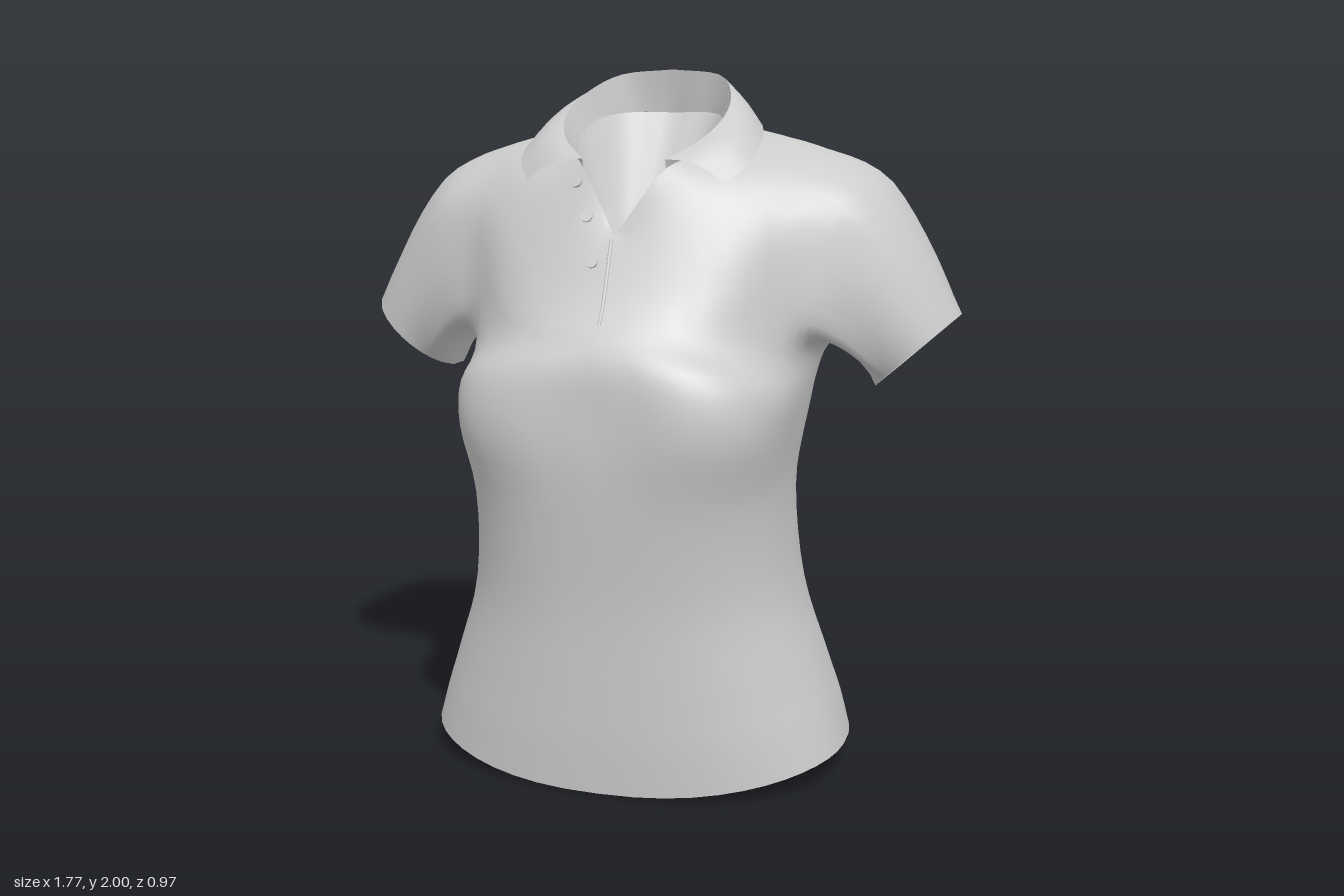
import * as THREE from 'three';

const COLS = 48, SUB = 4, HOLE = 4;          // columns round the body, rows per section, half armhole width
const V = (x, y, z) => new THREE.Vector3(x, y, z);
const curve = pts => new THREE.CatmullRomCurve3(pts.map(p => V(...p)));

// Body sections: y front, y side, y back, half width, z front, z side, z back, front and back squareness
const SECTIONS = [
  [0.005, 0.09, 0.12, 0.615, 0.41, 0.03, -0.485, 2.3, 2.3],
  [0.15, 0.20, 0.22, 0.585, 0.42, 0.02, -0.465, 2.3, 2.3],
  [0.30, 0.32, 0.33, 0.545, 0.425, 0.02, -0.43, 2.3, 2.3],
  [0.55, 0.55, 0.55, 0.475, 0.435, 0.02, -0.35, 2.4, 2.3],
  [0.82, 0.82, 0.82, 0.45, 0.465, 0.03, -0.32, 2.8, 2.3],
  [1.03, 1.01, 1.00, 0.47, 0.495, 0.0, -0.35, 3.6, 2.3],
  [1.19, 1.12, 1.12, 0.49, 0.485, -0.05, -0.375, 3.2, 2.4],
  [1.29, 1.21, 1.22, 0.505, 0.435, -0.11, -0.39, 2.2, 2.6],
  [1.36, 1.50, 1.50, 0.52, 0.375, -0.14, -0.42, 2.1, 2.8],
  [1.43, 1.785, 1.70, 0.53, 0.335, -0.17, -0.40, 2.0, 2.8],
];
const ARMPIT = 7 * SUB, SHOULDER = 9 * SUB, NECK = SHOULDER + 6;

// Left half of the neckline, from the front V to the back
const neckline = curve([[0, 1.55, 0.26], [0.12, 1.73, 0.175], [0.19, 1.77, 0.05],
  [0.195, 1.85, -0.12], [0.13, 1.875, -0.25], [0, 1.875, -0.295]]);

// Smooth values at a fractional section number
function sectionAt(f) {
  const i = Math.min(Math.floor(f), SECTIONS.length - 2), t = f - i;
  const at = k => SECTIONS[Math.max(0, Math.min(SECTIONS.length - 1, k))];
  return SECTIONS[0].map((_, c) => {
    const [a, b, d, e] = [at(i - 1)[c], at(i)[c], at(i + 1)[c], at(i + 2)[c]];
    return b + 0.5 * t * (d - a + t * (2 * a - 5 * b + 4 * d - e + t * (3 * (b - d) + e - a)));
  });
}

function bodyPoint(row, col) {
  const a = (col / COLS) * Math.PI * 2, c = Math.cos(a), s = Math.sin(a);
  if (row > SHOULDER) {                       // yoke: from the shoulder row in to the neckline
    const rim = neckline.getPoint(0.5 - Math.asin(s) / Math.PI);
    if (c < 0) rim.x *= -1;
    return bodyPoint(SHOULDER, col).lerp(rim, (row - SHOULDER) / (NECK - SHOULDER));
  }
  const [yF, yS, yB, w, zF, zS, zB, nF, nB] = sectionAt(row / SUB);
  const n = s > 0 ? nF : nB, yEnd = s > 0 ? yF : yB, zEnd = s > 0 ? zF : zB;
  const p = V(w * Math.sign(c) * Math.abs(c) ** (2 / n), yEnd + (yS - yEnd) * c * c,
    zS + (zEnd - zS) * Math.abs(s) ** (2 / n));
  // slight hollow between the two sides of the chest
  if (s > 0) p.z -= 0.03 * Math.exp(-((p.x / 0.12) ** 2) - ((p.y - 1.08) / 0.16) ** 2);
  return p;
}

// Torso and sleeves share vertices, so the shading flows through the armholes
function buildCloth(material) {
  const pts = [], links = [], torso = [], sleeves = { 1: [], [-1]: [] }, seams = [];
  const id = (r, c) => r * COLS + (c + COLS) % COLS;
  const quad = (list, ...q) => {
    const [a, b, c, d] = q;
    list.push(a, d, c, a, c, b);
    q.forEach((v, i) => {
      (links[v] ??= new Set()).add(q[(i + 1) % 4]).add(q[(i + 3) % 4]);
    });
  };

  for (let r = 0; r <= NECK; r++)
    for (let c = 0; c < COLS; c++) pts.push(bodyPoint(r, c));
  for (let r = 0; r < NECK; r++)
    for (let c = 0; c < COLS; c++) {
      const k = (c + HOLE) % (COLS / 2);
      if (r >= ARMPIT && r < SHOULDER && k < 2 * HOLE) continue;   // armholes
      quad(torso, id(r, c), id(r, c + 1), id(r + 1, c + 1), id(r + 1, c));
    }
  for (let c = 0; c < COLS; c++) seams.push(pts[id(SHOULDER, c)].clone());

  for (const side of [1, -1]) {
    const mid = side > 0 ? 0 : COLS / 2;
    // armhole loop: bottom, one edge up, top, other edge down
    let ring = [];
    for (let c = -HOLE; c < HOLE; c++) ring.push(id(ARMPIT, mid + c));
    for (let r = ARMPIT; r < SHOULDER; r++) ring.push(id(r, mid + HOLE));
    for (let c = HOLE; c > -HOLE; c--) ring.push(id(SHOULDER, mid + c));
    for (let r = SHOULDER; r > ARMPIT; r--) ring.push(id(r, mid - HOLE));
    seams.push(...ring.map(i => pts[i].clone()));
    const paths = ring.map(i => {
      const p = pts[i], up = THREE.MathUtils.clamp((p.y - 1.2) / 0.57, 0, 1);
      const phi = Math.atan2((p.z + 0.07) / 0.2, (p.y - 1.48) / 0.28);
      const cuff = V(side * (0.768 + 0.117 * Math.cos(phi)), 1.215 + 0.105 * Math.cos(phi),
        -0.157 + 0.175 * Math.sin(phi));
      const bend = V(p.x + side * (0.06 + 0.12 * up), p.y + 0.11 - 0.16 * up,
        p.z + (p.z < -0.15 ? -0.04 : -0.02));
      return new THREE.QuadraticBezierCurve3(p.clone(), bend, cuff);
    });
    for (let k = 1; k <= 10; k++) {
      const next = paths.map(path => pts.push(path.getPoint(k / 10)) - 1);
      ring.forEach((a, i) => {
        const j = (i + 1) % ring.length;
        quad(sleeves[side], a, ring[j], next[j], next[i]);
      });
      ring = next;
    }
  }

  // Relax the cloth around the armholes and the yoke, keeping the neckline
  const soft = pts.map((p, i) => i >= id(NECK, 0) && i < id(NECK, 0) + COLS ? 0
    : 0.6 * Math.max(0, 1 - Math.min(...seams.map(s => s.distanceTo(p))) / 0.16));
  for (let pass = 0; pass < 12; pass++) {
    const old = pts.map(p => p.clone());
    pts.forEach((p, i) => {
      if (!soft[i] || !links[i]) return;
      const mean = V(0, 0, 0);
      links[i].forEach(k => mean.add(old[k]));
      p.lerp(mean.divideScalar(links[i].size), soft[i]);
    });
  }

  const whole = new THREE.BufferGeometry().setFromPoints(pts);
  whole.setIndex([...torso, ...sleeves[1], ...sleeves[-1]]);
  whole.computeVertexNormals();
  const part = (name, index) => {
    const g = new THREE.BufferGeometry();
    g.setAttribute('position', whole.attributes.position);
    g.setAttribute('normal', whole.attributes.normal);
    g.setIndex(index);
    const m = new THREE.Mesh(g, material);
    m.name = name;
    return m;
  };
  return [part('torso', torso), part('leftSleeve', sleeves[1]), part('rightSleeve', sleeves[-1])];
}

// Sheet between two half curves that run from the back to the front, mirrored across x
function mirroredSheet(name, from, to, material, bulge = 0) {
  const N = 40, M = 5, pts = [], index = [];
  for (let i = 0; i <= N; i++) {
    const u = (i / N) * 2 - 1;
    for (let j = 0; j <= M; j++) {
      const v = j / M, p = from(Math.abs(u)).lerp(to(Math.abs(u)), v);
      p.y += bulge * Math.sin(Math.PI * v);
      if (u < 0) p.x *= -1;
      pts.push(p);
      if (i < N && j < M) {
        const a = i * (M + 1) + j, b = a + M + 1;
        index.push(a, b, b + 1, a, b + 1, a + 1);
      }
    }
  }
  const g = new THREE.BufferGeometry().setFromPoints(pts);
  g.setIndex(index);
  g.computeVertexNormals();
  const m = new THREE.Mesh(g, material);
  m.name = name;
  return m;
}

export function createModel() {
  const model = new THREE.Group();
  model.name = 'poloShirt';
  const cloth = new THREE.MeshStandardMaterial({ color: 0xcccccc, side: THREE.DoubleSide });
  const parts = buildCloth(cloth);
  model.add(...parts);

  // Collar: a stand rising from the neckline and a fall folded over it
  const fold = curve([[0, 2.0, -0.27], [0.15, 1.985, -0.24], [0.22, 1.93, -0.12],
    [0.235, 1.87, 0], [0.2, 1.81, 0.1], [0.12, 1.755, 0.185]]);
  const edge = curve([[0, 1.85, -0.33], [0.18, 1.855, -0.305], [0.29, 1.85, -0.18],
    [0.338, 1.805, -0.02], [0.338, 1.75, 0.09], [0.29, 1.69, 0.175]]);
  const collar = new THREE.Group();
  collar.name = 'collar';
  collar.add(
    mirroredSheet('collarStand', u => neckline.getPoint(1 - 0.8 * u), u => fold.getPoint(u), cloth),
    mirroredSheet('collarFall', u => fold.getPoint(u), u => edge.getPoint(u), cloth, 0.02));
  model.add(collar);

  // Lining that closes the neck, sloping down behind the V
  model.add(mirroredSheet('neckLining', u => neckline.getPoint(1 - u), () => V(0, 1.42, 0.16), cloth, -0.03));

  // Finds the front of the torso at a given x and y
  const ray = new THREE.Raycaster();
  const onFront = (x, y) => {
    ray.set(V(x, y, 2), V(0, 0, -1));
    return ray.intersectObject(parts[0])[0];
  };

  // Placket seam below the V
  const seamPts = [1.54, 1.5, 1.45, 1.4, 1.36, 1.32].map((y, i) => onFront(0.002 * i - 0.005, y)?.point);
  const seam = new THREE.Mesh(
    new THREE.TubeGeometry(new THREE.CatmullRomCurve3(seamPts.filter(Boolean)), 24, 0.005, 6), cloth);
  seam.name = 'placketSeam';
  model.add(seam);

  // Buttons lying on the cloth
  for (const [x, y] of [[-0.13, 1.69], [-0.085, 1.6], [-0.05, 1.48]]) {
    const hit = onFront(x, y);
    if (!hit) continue;
    const button = new THREE.Mesh(new THREE.CylinderGeometry(0.017, 0.017, 0.008, 16), cloth);
    const normal = hit.face.normal.clone();
    if (normal.z < 0) normal.negate();
    button.position.copy(hit.point).addScaledVector(normal, 0.002);
    button.quaternion.setFromUnitVectors(V(0, 1, 0), normal);
    button.name = 'button';
    model.add(button);
  }
  return model;
}
